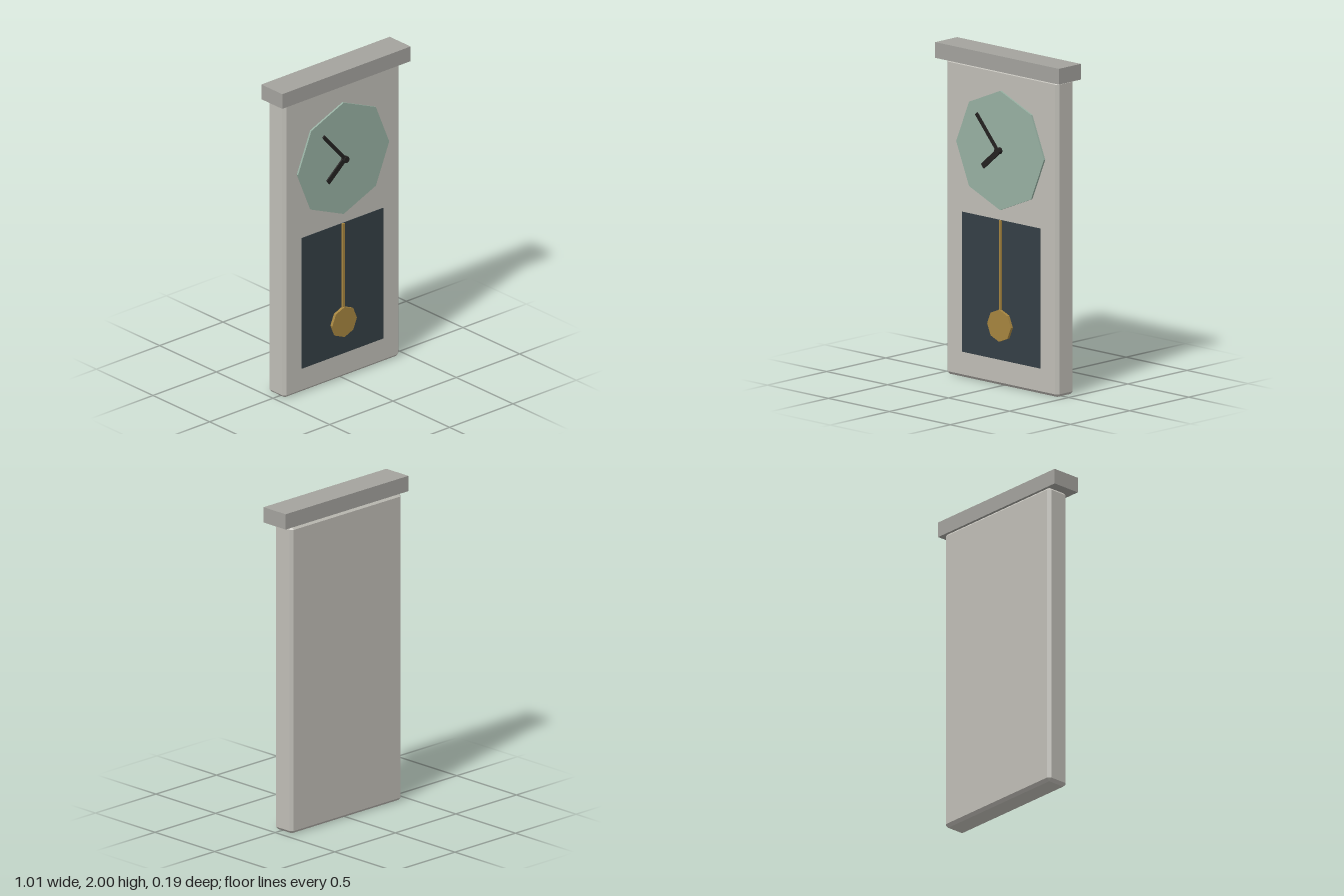
import * as THREE from 'three';
import { ConvexGeometry } from 'three/addons/geometries/ConvexGeometry.js';

const mat = (color) => new THREE.MeshStandardMaterial({ color, flatShading: true });
const bodyMat = mat(0xbfbdb6), capMat = mat(0xa3a29d), dialMat = mat(0x97b0a2);
const panelMat = mat(0x343f45), brassMat = mat(0xa5843f), blackMat = mat(0x232120);

export function createModel() {
  const clock = new THREE.Group();
  clock.name = 'wallClock';

  const add = (name, geometry, material, x, y, z) => {
    const mesh = new THREE.Mesh(geometry, material);
    mesh.name = name;
    mesh.position.set(x, y, z);
    clock.add(mesh);
    return mesh;
  };
  // Box given by its size and its z range
  const slab = (name, w, h, z0, z1, material, x, y) =>
    add(name, new THREE.BoxGeometry(w, h, z1 - z0), material, x, y, (z0 + z1) / 2);
  // Eight-sided disc facing +z with a corner at the top
  const disc = (name, r, z0, z1, material, y) =>
    add(name, new THREE.CylinderGeometry(r, r, z1 - z0, 8).rotateX(Math.PI / 2), material, 0, y, (z0 + z1) / 2);

  // Case with all edges chamfered
  const chamferBox = (w, h, d, c) => {
    const points = [];
    for (const sx of [-1, 1]) for (const sy of [-1, 1]) for (const sz of [-1, 1])
      for (const inset of [[0, c, c], [c, 0, c], [c, c, 0]])
        points.push(new THREE.Vector3(
          sx * (w / 2 - inset[0]), sy * (h / 2 - inset[1]), sz * (d / 2 - inset[2])));
    return new ConvexGeometry(points);
  };
  add('case', chamferBox(0.916, 1.905, 0.148, 0.018), bodyMat, 0, 0.9525, -0.021);
  slab('topCap', 1.014, 0.095, -0.095, 0.09, capMat, 0, 1.9525);

  // Dial and pendulum window
  disc('dial', 0.36, 0.045, 0.065, dialMat, 1.422);
  slab('window', 0.642, 0.845, 0.045, 0.056, panelMat, 0, 0.578);

  // Pendulum
  slab('pendulumRod', 0.016, 0.6, 0.054, 0.067, brassMat, 0, 0.7);
  disc('pendulumBob', 0.097, 0.054, 0.074, brassMat, 0.366);

  // Hands run from the hub to their tips
  const hand = (name, tx, ty, width, z0, z1) => {
    const mesh = slab(name, width, Math.hypot(tx, ty), z0, z1, blackMat, tx / 2, 1.422 + ty / 2);
    mesh.rotation.z = Math.atan2(-tx, ty);
  };
  hand('hourHand', -0.133, -0.113, 0.034, 0.07, 0.079);
  hand('minuteHand', -0.176, 0.2, 0.021, 0.079, 0.088);
  disc('handHub', 0.021, 0.065, 0.095, blackMat, 1.422);

  return clock;
}
